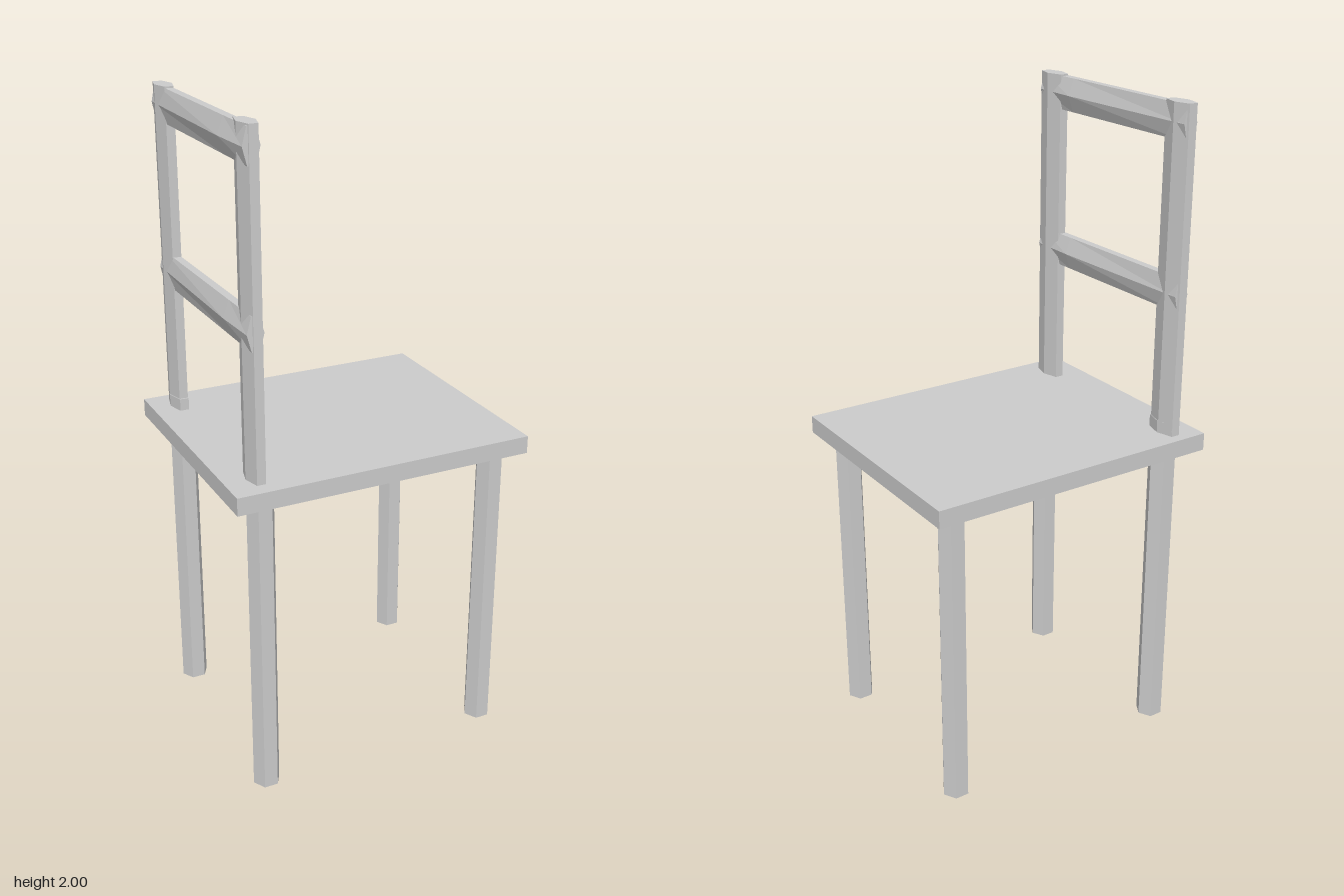
import * as THREE from 'three';

const material = new THREE.MeshStandardMaterial({ color: 0xcccccc, flatShading: true });

// Upright six-sided bar: points along x, flat faces along z
function hexBar(halfX, halfZ, length, rings = 1) {
  const g = new THREE.CylinderGeometry(1, 1, length, 6, rings, false, Math.PI / 2);
  return g.scale(halfX, 1, halfZ / Math.cos(Math.PI / 6));
}

export function createModel() {
  const chair = new THREE.Group();
  chair.name = 'chair';

  const add = (name, geometry, x, y, z) => {
    const mesh = new THREE.Mesh(geometry, material);
    mesh.name = name;
    mesh.position.set(x, y, z);
    chair.add(mesh);
    return mesh;
  };

  // Seat board
  add('seat', new THREE.BoxGeometry(0.927, 0.054, 0.767), -0.002, 0.991, -0.001);

  // Legs, slightly uneven at the floor: name, x, z, foot height
  const legs = [
    ['rightFrontLeg', -0.365, 0.302, 0],
    ['rightBackLeg', -0.365, -0.312, 0.018],
    ['leftFrontLeg', 0.382, 0.302, 0.016],
    ['leftBackLeg', 0.382, -0.312, 0.018],
  ];
  const legTop = 0.97;
  for (const [name, x, z, foot] of legs) {
    add(name, hexBar(0.042, 0.037, legTop - foot), x, (legTop + foot) / 2, z);
  }

  // Backrest posts
  const postBase = 1.0, postTop = 2.0;
  for (const [name, x, z] of [['frontPost', -0.373, 0.285], ['backPost', -0.38, -0.302]]) {
    add(name, hexBar(0.027, 0.05, postTop - postBase), x, (postBase + postTop) / 2, z);
  }
  // Thicker collar at the foot of the back post
  add('backPostCollar', hexBar(0.028, 0.052, 0.055), -0.38, 1.028, -0.299);

  // Backrest rails, their side ridges swelling near the front post
  const zBack = -0.345, zSwell = 0.18, zFront = 0.332;
  for (const [name, y] of [['topRail', 1.945], ['middleRail', 1.455]]) {
    const g = hexBar(0.024, 0.05, 2, 2).rotateX(Math.PI / 2);
    const p = g.attributes.position;
    for (let i = 0; i < p.count; i++) {
      const t = Math.round(p.getZ(i));
      p.setZ(i, t < 0 ? zBack : t > 0 ? zFront : zSwell);
      if (Math.abs(p.getY(i)) < 0.01) p.setX(i, p.getX(i) * (t < 0 ? 0.95 : t > 0 ? 1.05 : 1.25));
    }
    g.computeVertexNormals();
    add(name, g, -0.379, y, 0);
  }

  return chair;
}
